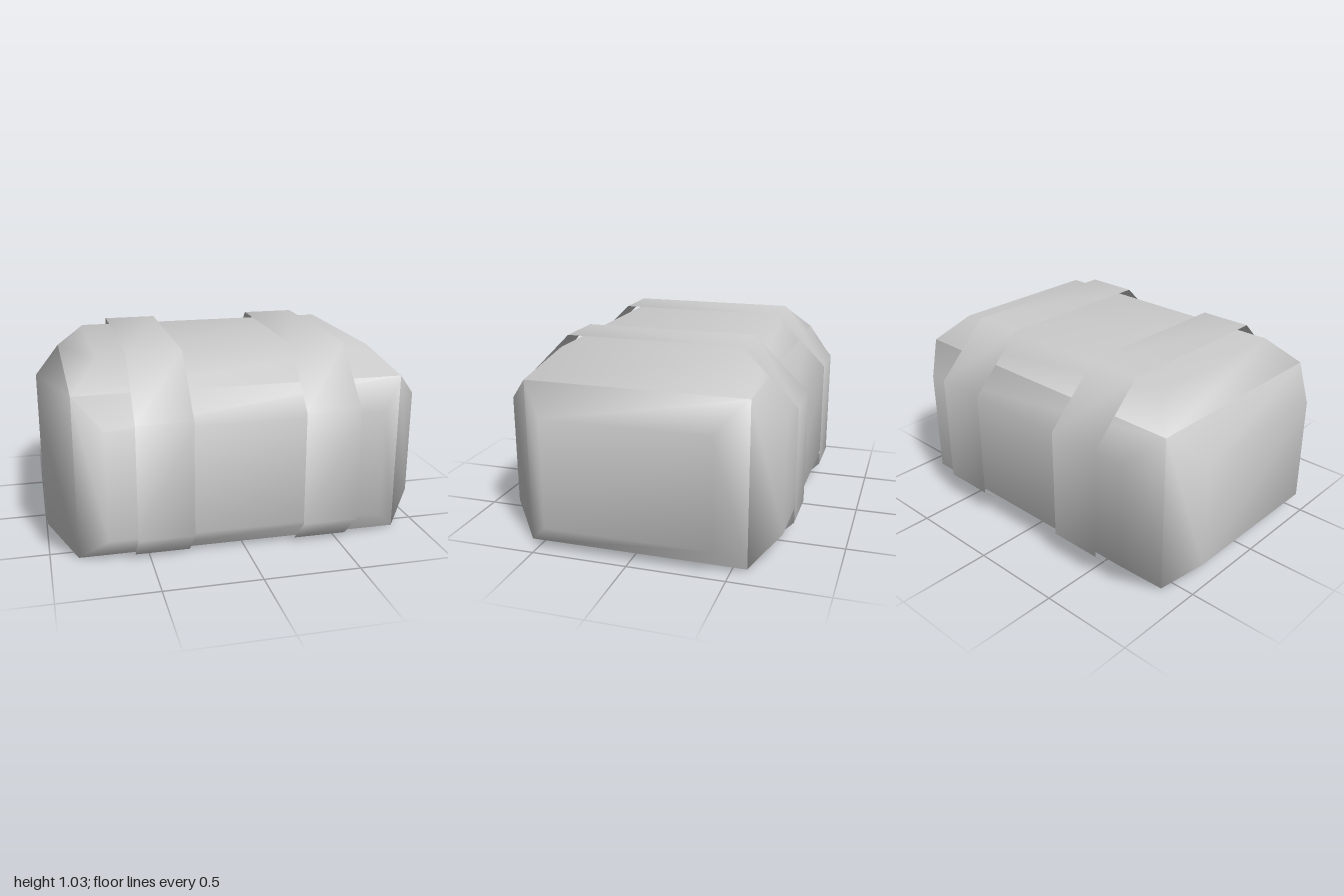
import * as THREE from 'three';

const HALF_X = 0.857, HALF_Z = 0.571, HEIGHT = 0.857, BEVEL = 0.143;
const MID = HEIGHT / 2;

function smoothGeometry(points, indices) {
  const geo = new THREE.BufferGeometry();
  geo.setAttribute('position', new THREE.Float32BufferAttribute(points, 3));
  geo.setIndex(indices);
  geo.computeVertexNormals();
  return geo;
}

// Smooth raised panel: base rectangle at z = 0, bevelled up to a smaller one
function panelGeometry(halfW, halfH) {
  const points = [], indices = [];
  for (const inset of [0, BEVEL]) {
    for (const [sx, sy] of [[-1, -1], [1, -1], [1, 1], [-1, 1]]) {
      points.push(sx * (halfW - inset), sy * (halfH - inset), inset);
    }
  }
  for (let i = 0; i < 4; i++) {
    const j = (i + 1) % 4;
    indices.push(i, j, j + 4, i, j + 4, i + 4);
  }
  indices.push(4, 5, 6, 4, 6, 7);
  return smoothGeometry(points, indices);
}

// Open band: a (z, y) profile swept across the strap width
function strapGeometry(halfWidth) {
  const front = [[0.6, 0], [0.743, 0.143], [0.743, 0.743], [0.457, 1.0286]];
  const back = front.map(([z, y]) => [-z, y]).reverse();
  const points = [], indices = [];
  [...front, ...back].forEach(([z, y], i) => {
    points.push(-halfWidth, y, z, halfWidth, y, z);
    if (i > 0) {
      const a = 2 * i - 2;
      indices.push(a, a + 1, a + 3, a, a + 3, a + 2);
    }
  });
  return smoothGeometry(points, indices);
}

export function createModel() {
  const group = new THREE.Group();
  const material = new THREE.MeshStandardMaterial({ color: 0xcccccc });
  const sheet = new THREE.MeshStandardMaterial({ color: 0xcccccc, side: THREE.DoubleSide });

  function add(name, geo, mat, position, rotation = [0, 0, 0]) {
    const mesh = new THREE.Mesh(geo, mat);
    mesh.name = name;
    mesh.position.set(...position);
    mesh.rotation.set(...rotation);
    group.add(mesh);
  }

  // Five bevelled panels around the body
  const long = panelGeometry(HALF_X, MID);
  const end = panelGeometry(HALF_Z, MID);
  add('frontPanel', long, material, [0, MID, HALF_Z]);
  add('backPanel', long, material, [0, MID, -HALF_Z], [0, Math.PI, 0]);
  add('leftPanel', end, material, [HALF_X, MID, 0], [0, Math.PI / 2, 0]);
  add('rightPanel', end, material, [-HALF_X, MID, 0], [0, -Math.PI / 2, 0]);
  add('topPanel', panelGeometry(HALF_X, HALF_Z), material, [0, HEIGHT, 0], [-Math.PI / 2, 0, 0]);

  // Flat underside
  add('base', new THREE.PlaneGeometry(2 * HALF_X, 2 * HALF_Z), material, [0, 0, 0], [Math.PI / 2, 0, 0]);

  // Two straps over the top
  const strap = strapGeometry(0.143);
  add('leftStrap', strap, sheet, [0.4285, 0, 0]);
  add('rightStrap', strap, sheet, [-0.4285, 0, 0]);

  return group;
}
